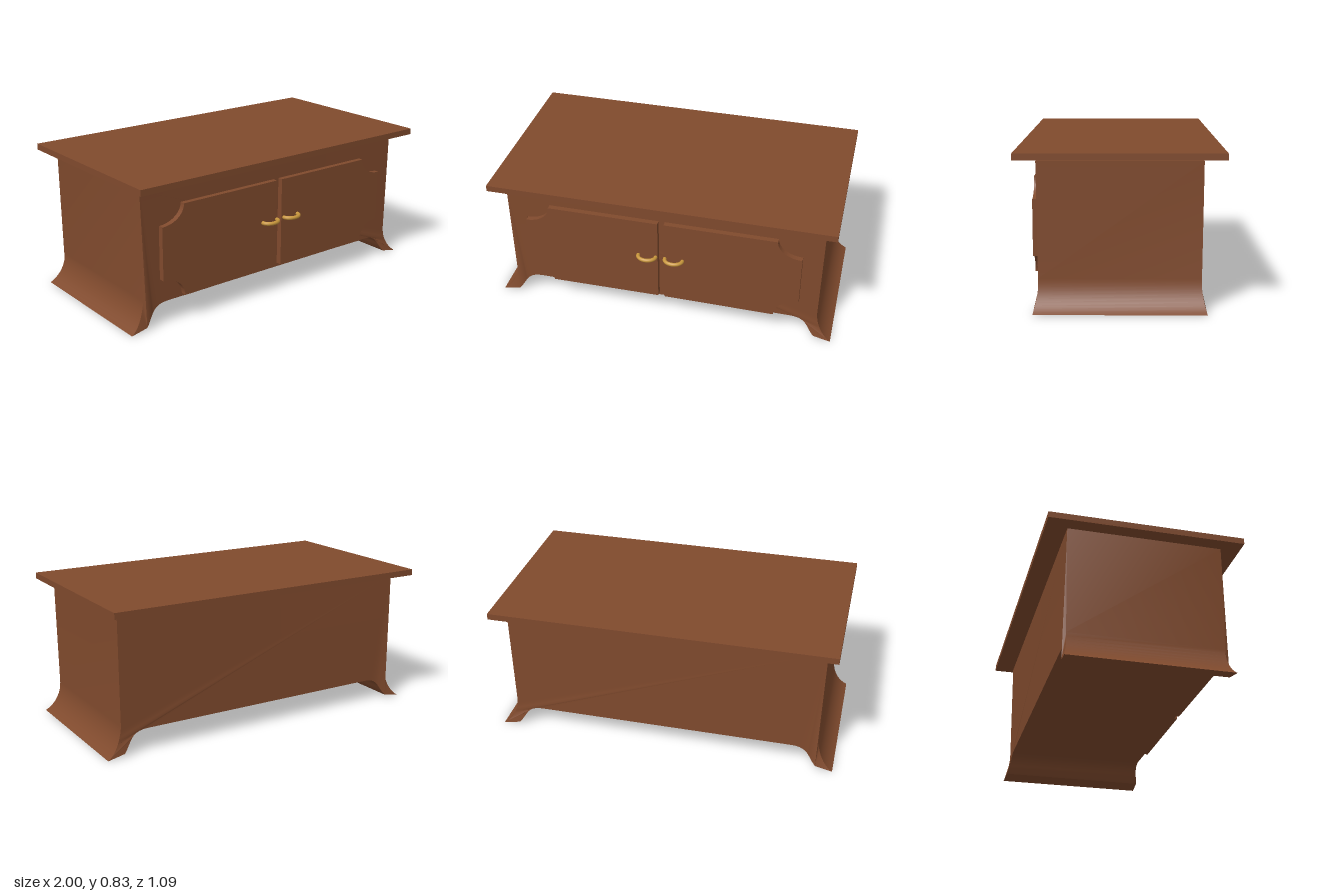
import * as THREE from 'three';
import { toCreasedNormals } from 'three/addons/utils/BufferGeometryUtils.js';

export function createModel() {
  const model = new THREE.Group();
  model.name = 'cabinet';

  const wood = new THREE.MeshStandardMaterial({ color: 0x804a2d });
  wood.name = 'brown wood';
  const brass = new THREE.MeshStandardMaterial({ color: 0xc8963c });
  brass.name = 'brass';

  function add(name, geometry, material, parent = model) {
    const mesh = new THREE.Mesh(geometry, material);
    mesh.name = name;
    parent.add(mesh);
    return mesh;
  }

  // Overhanging top board, separated from the body by a narrow gap
  add('topBoard', new THREE.BoxGeometry(1.96, 0.035, 1.09), wood).position.y = 0.8135;

  // Body: right half of the outline, from the top down the flared foot to the underside
  const outer = new THREE.CubicBezierCurve(
    new THREE.Vector2(0.909, 0.17), new THREE.Vector2(0.912, 0.1),
    new THREE.Vector2(0.945, 0.03), new THREE.Vector2(1, 0));
  const inner = new THREE.CubicBezierCurve(
    new THREE.Vector2(0.9, 0.018), new THREE.Vector2(0.85, 0.07),
    new THREE.Vector2(0.855, 0.13), new THREE.Vector2(0.75, 0.13));
  const half = [new THREE.Vector2(0.915, 0.785), ...outer.getPoints(10), ...inner.getPoints(10)];
  const mirrored = half.map(p => new THREE.Vector2(-p.x, p.y)).reverse();
  const body = new THREE.ExtrudeGeometry(new THREE.Shape([...half, ...mirrored]),
    { depth: 2, bevelEnabled: false });
  body.translate(0, 0, -1);

  // Front and back lean in slightly, then sweep out at the feet
  const pos = body.attributes.position;
  for (let i = 0; i < pos.count; i++) {
    const y = pos.getY(i);
    const flare = Math.max(0, 1 - y / 0.13);
    const depth = 0.424 + 0.006 * y / 0.785 + 0.026 * flare ** 1.6;
    pos.setZ(i, Math.sign(pos.getZ(i)) * depth);
  }
  add('body', toCreasedNormals(body, 0.6), wood);

  // Doors with scooped outer corners, and a bowed pull on each
  for (const side of [-1, 1]) {
    const door = new THREE.Group();
    door.name = side > 0 ? 'leftDoor' : 'rightDoor';
    model.add(door);

    const shape = new THREE.Shape();
    shape.moveTo(side * 0.018, 0.152);
    shape.lineTo(side * 0.66, 0.148);
    shape.absellipse(side * 0.8, 0.148, 0.14, 0.117, side > 0 ? Math.PI : 0, Math.PI / 2, side > 0);
    shape.lineTo(side * 0.8, 0.57);
    shape.absellipse(side * 0.8, 0.672, 0.14, 0.104, -Math.PI / 2, side > 0 ? Math.PI : 0, side > 0);
    shape.lineTo(side * 0.018, 0.672);
    const panel = new THREE.ExtrudeGeometry(shape, { depth: 0.034, bevelEnabled: false, curveSegments: 12 });
    panel.translate(0, 0, 0.426);
    add('doorPanel', toCreasedNormals(panel, 0.6), wood, door);

    // Half-ring pull
    const points = [];
    for (let i = 0; i <= 12; i++) {
      const a = Math.PI * i / 12;
      points.push(new THREE.Vector3(side * 0.078 + 0.051 * Math.cos(a), 0.446, 0.474 + 0.04 * Math.sin(a)));
    }
    add('handle', new THREE.TubeGeometry(new THREE.CatmullRomCurve3(points), 24, 0.011, 10), brass, door);
    for (const end of [points[0], points[12]]) {
      add('handleEnd', new THREE.SphereGeometry(0.011, 10, 8), brass, door).position.copy(end);
    }
  }
  return model;
}
